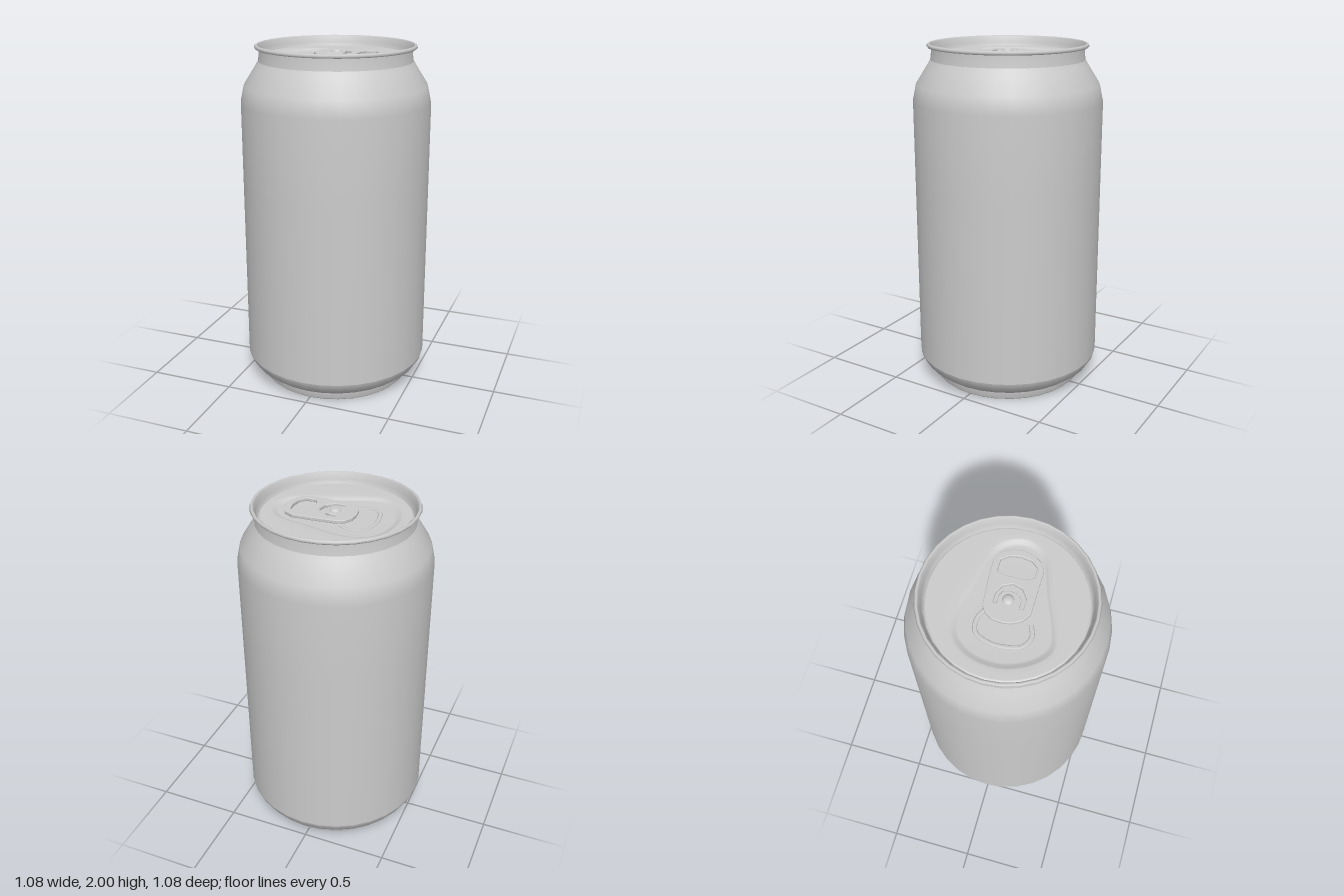
import * as THREE from 'three';

const SIDES = 32;
const vecs = (pts) => pts.map(([x, y]) => new THREE.Vector2(x, y));

export function createModel() {
  const model = new THREE.Group();
  model.name = 'drinkCan';
  const material = new THREE.MeshStandardMaterial({ color: 0xcccccc });

  const add = (name, geometry, parent = model) => {
    const mesh = new THREE.Mesh(geometry, material);
    mesh.name = name;
    parent.add(mesh);
    return mesh;
  };
  const lathe = (name, pts) => add(name, new THREE.LatheGeometry(vecs(pts), SIDES));

  // Shell, split where the surface has a crease
  lathe('baseDome', [[0, 0.04], [0.2, 0.033], [0.33, 0.02], [0.425, 0.003]]);
  lathe('baseRim', [[0.425, 0.003], [0.435, 0], [0.445, 0.01], [0.45, 0.05]]);
  lathe('baseChamfer', [[0.45, 0.05], [0.475, 0.062], [0.51, 0.09], [0.535, 0.13], [0.541, 0.15]]);
  lathe('body', [[0.541, 0.15], [0.541, 0.6], [0.541, 1.2], [0.541, 1.68], [0.521, 1.775], [0.455, 1.88], [0.437, 1.91]]);
  lathe('neck', [[0.437, 1.91], [0.432, 1.945], [0.43, 1.975]]);
  lathe('topRim', [
    [0.43, 1.975], [0.45, 1.978], [0.457, 1.987], [0.452, 1.997], [0.444, 2],
    [0.436, 1.994], [0.428, 1.96], [0.42, 1.931], [0.412, 1.928], [0.404, 1.94],
  ]);

  // Lid: rings lofted from a sunken teardrop panel out to the round edge
  const STEPS = 64;
  const teardrop = new THREE.CatmullRomCurve3([
    [0.35, 0.03], [0.3, 0.11], [0.1, 0.19], [-0.1, 0.265], [-0.19, 0.275], [-0.28, 0.2], [-0.34, 0.05],
    [-0.32, -0.11], [-0.24, -0.21], [-0.13, -0.23], [0.08, -0.185], [0.28, -0.135], [0.34, -0.06],
  ].map(([x, z]) => new THREE.Vector3(x, 0, z)), true).getSpacedPoints(STEPS).slice(0, STEPS);

  const rings = [ // scale of the teardrop, blend towards the circle, height
    [0.5, 0, 1.925], [0.91, 0, 1.925], [0.95, 0, 1.929], [1, 0, 1.938],
    [1, 0.15, 1.941], [1, 0.6, 1.941], [1, 1, 1.941],
  ];
  const positions = [0, 1.925, 0];
  const index = [];
  rings.forEach(([scale, blend, y], r) => {
    teardrop.forEach((p, j) => {
      const a = Math.atan2(p.z, p.x);
      positions.push(
        THREE.MathUtils.lerp(p.x * scale, Math.cos(a) * 0.406, blend), y,
        THREE.MathUtils.lerp(p.z * scale, Math.sin(a) * 0.406, blend));
      const k = (j + 1) % STEPS;
      const outer = 1 + r * STEPS;
      const inner = outer - STEPS;
      if (r === 0) index.push(0, outer + k, outer + j);
      else index.push(inner + j, inner + k, outer + j, outer + j, inner + k, outer + k);
    });
  });
  const lid = new THREE.BufferGeometry();
  lid.setAttribute('position', new THREE.Float32BufferAttribute(positions, 3));
  lid.setIndex(index);
  lid.computeVertexNormals();
  add('lid', lid);

  // Low ridge around the pour opening
  const ridge = new THREE.CatmullRomCurve3([
    [-0.06, -0.1], [-0.12, -0.125], [-0.19, -0.11], [-0.225, -0.03],
    [-0.225, 0.05], [-0.2, 0.13], [-0.14, 0.16], [-0.08, 0.14],
  ].map(([x, z]) => new THREE.Vector3(x, 0, z)));
  const mouth = add('mouthRidge', new THREE.TubeGeometry(ridge, 32, 0.012, 8));
  mouth.scale.y = 0.3;
  mouth.position.y = 1.925;

  // Pull tab with finger hole and a curved slot around the rivet
  const tab = new THREE.Group();
  tab.name = 'pullTab';
  model.add(tab);
  const outline = new THREE.Shape(vecs([
    [-0.114, 0], [-0.108, -0.05], [-0.085, -0.09], [-0.05, -0.11], [0.1, -0.122], [0.2, -0.125], [0.25, -0.1],
    [0.274, -0.05], [0.284, 0], [0.27, 0.06], [0.24, 0.105], [0.2, 0.124], [-0.04, 0.122], [-0.08, 0.095], [-0.106, 0.05],
  ]));
  outline.holes.push(
    new THREE.Path(vecs([
      [0.126, -0.05], [0.14, -0.1], [0.21, -0.1], [0.243, -0.06], [0.254, 0],
      [0.245, 0.06], [0.215, 0.098], [0.15, 0.1], [0.13, 0.06],
    ])),
    new THREE.Path(vecs([
      [-0.03, -0.075], [0.03, -0.075], [0.075, -0.05], [0.1, 0], [0.085, 0.055], [0.035, 0.09], [-0.03, 0.09],
      [-0.03, 0.06], [0.02, 0.058], [0.045, 0.035], [0.05, 0], [0.04, -0.035], [0.015, -0.047], [-0.03, -0.047],
    ])));
  const plate = new THREE.ExtrudeGeometry(outline, {
    depth: 0.012, bevelEnabled: true, bevelThickness: 0.004, bevelSize: 0.005, bevelSegments: 2,
  });
  plate.rotateX(Math.PI / 2);
  add('tabPlate', plate, tab).position.y = 1.953;

  const rivet = add('rivet', new THREE.SphereGeometry(0.031, 20, 12), tab);
  rivet.scale.y = 0.6;
  rivet.position.set(0.005, 1.953, 0);

  return model;
}
